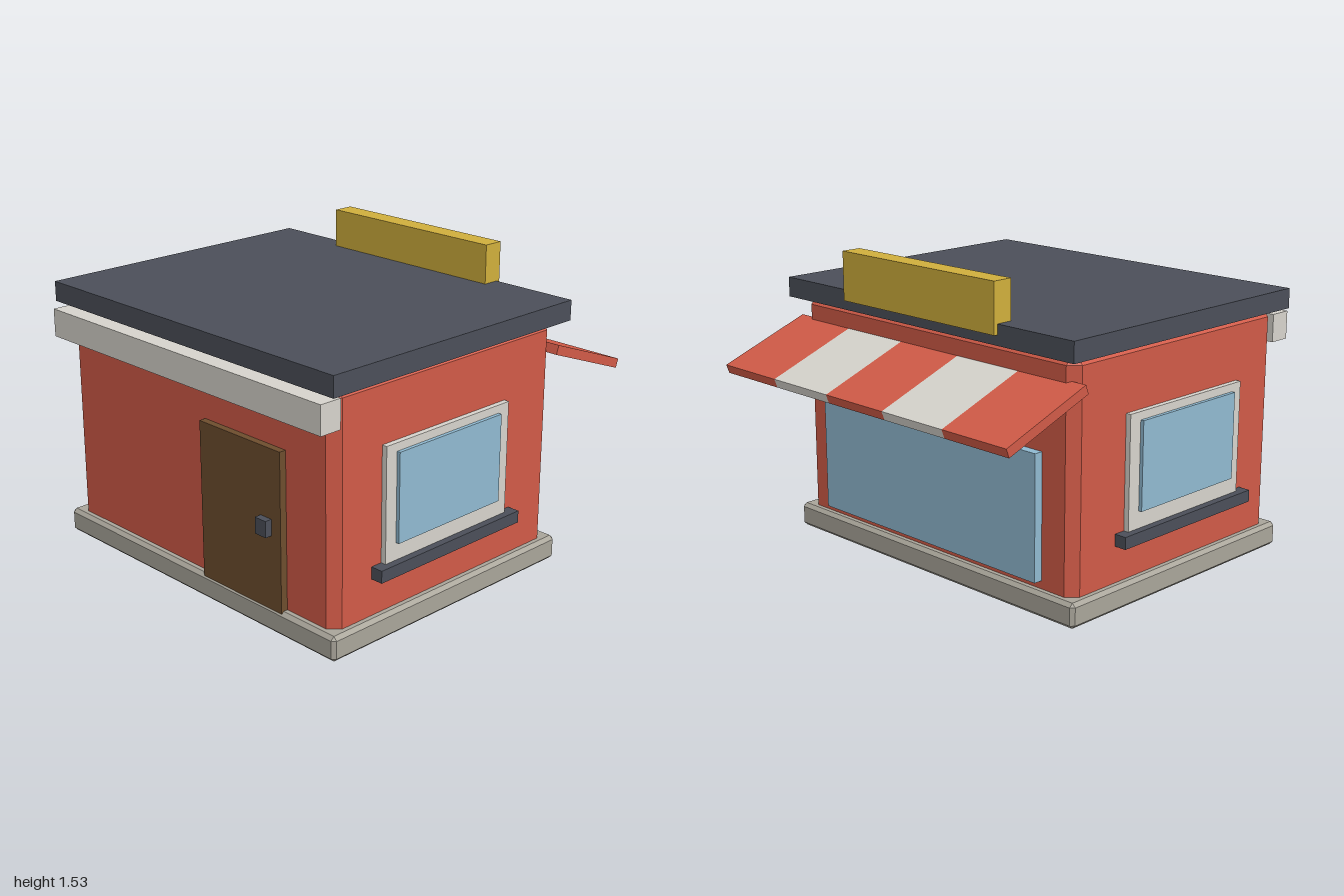
import * as THREE from 'three';
import { ConvexGeometry } from 'three/addons/geometries/ConvexGeometry.js';

const material = (name, color) => {
  const m = new THREE.MeshStandardMaterial({ color });
  m.name = name;
  return m;
};

// Box with every edge cut by a flat chamfer
function chamferedBox(w, h, d, c) {
  const half = [w / 2, h / 2, d / 2];
  const points = [];
  for (const sx of [-1, 1]) for (const sy of [-1, 1]) for (const sz of [-1, 1]) {
    for (let axis = 0; axis < 3; axis++) {
      const [x, y, z] = half.map((v, i) => (i === axis ? v : v - c));
      points.push(new THREE.Vector3(sx * x, sy * y, sz * z));
    }
  }
  return new ConvexGeometry(points);
}

export function createModel() {
  const red = material('brickRed', 0xd05a47);
  const white = material('offWhite', 0xd6d3cc);
  const stone = material('stoneGrey', 0xa9a59a);
  const slate = material('slate', 0x4b4f59);
  const gold = material('gold', 0xcfae3c);
  const brown = material('doorBrown', 0x6d4d2e);
  const blue = material('glassBlue', 0x90b9d0);

  const shop = new THREE.Group();
  shop.name = 'shop';

  // Adds a box given by its extents on each axis
  function box(name, mat, [x0, x1], [y0, y1], [z0, z1], chamfer = 0, parent = shop) {
    const size = [x1 - x0, y1 - y0, z1 - z0];
    const geometry = chamfer ? chamferedBox(...size, chamfer) : new THREE.BoxGeometry(...size);
    const mesh = new THREE.Mesh(geometry, mat);
    mesh.name = name;
    mesh.position.set((x0 + x1) / 2, (y0 + y1) / 2, (z0 + z1) / 2);
    parent.add(mesh);
    return mesh;
  }

  // Building shell
  box('base', stone, [-0.97, 0.97], [0.002, 0.125], [-0.575, 0.95], 0.018);
  box('walls', red, [-0.93, 0.93], [0, 1.25], [-0.535, 0.91], 0.05);
  box('roof', slate, [-0.98, 0.98], [1.235, 1.335], [-0.595, 0.96]);

  // Front
  box('fascia', white, [-0.945, 0.945], [1.07, 1.21], [0.885, 1]);
  box('door', brown, [0.09, 0.63], [0.115, 0.895], [0.88, 0.945]);
  box('doorHandle', slate, [0.5, 0.57], [0.48, 0.56], [0.93, 0.98]);

  // Side windows
  for (const side of [-1, 1]) {
    const window = new THREE.Group();
    window.name = side > 0 ? 'leftWindow' : 'rightWindow';
    const span = (a, b) => (side > 0 ? [a, b] : [-b, -a]);
    box('windowFrame', white, span(0.9, 0.957), [0.33, 0.925], [-0.19, 0.62], 0, window);
    box('windowGlass', blue, span(0.92, 0.975), [0.45, 0.885], [-0.12, 0.555], 0, window);
    box('windowSill', slate, span(0.9, 0.993), [0.305, 0.365], [-0.25, 0.68], 0, window);
    shop.add(window);
  }

  // Back
  box('shopWindow', blue, [-0.74, 0.74], [0.165, 0.78], [-0.58, -0.5]);
  box('signBoard', gold, [-0.52, 0.52], [1.285, 1.53], [-0.615, -0.51]);

  // Striped awning sloping down away from the back wall
  const awning = new THREE.Group();
  awning.name = 'awning';
  const stripe = 1.96 / 5;
  for (let i = 0; i < 5; i++) {
    const x = -0.98 + i * stripe;
    box('awningStripe', i % 2 ? white : red, [x, x + stripe], [-0.0235, 0.0235], [-0.258, 0.258], 0, awning);
  }
  awning.position.set(0, 1.0175, -0.75);
  awning.rotation.x = -0.355;
  shop.add(awning);

  return shop;
}
